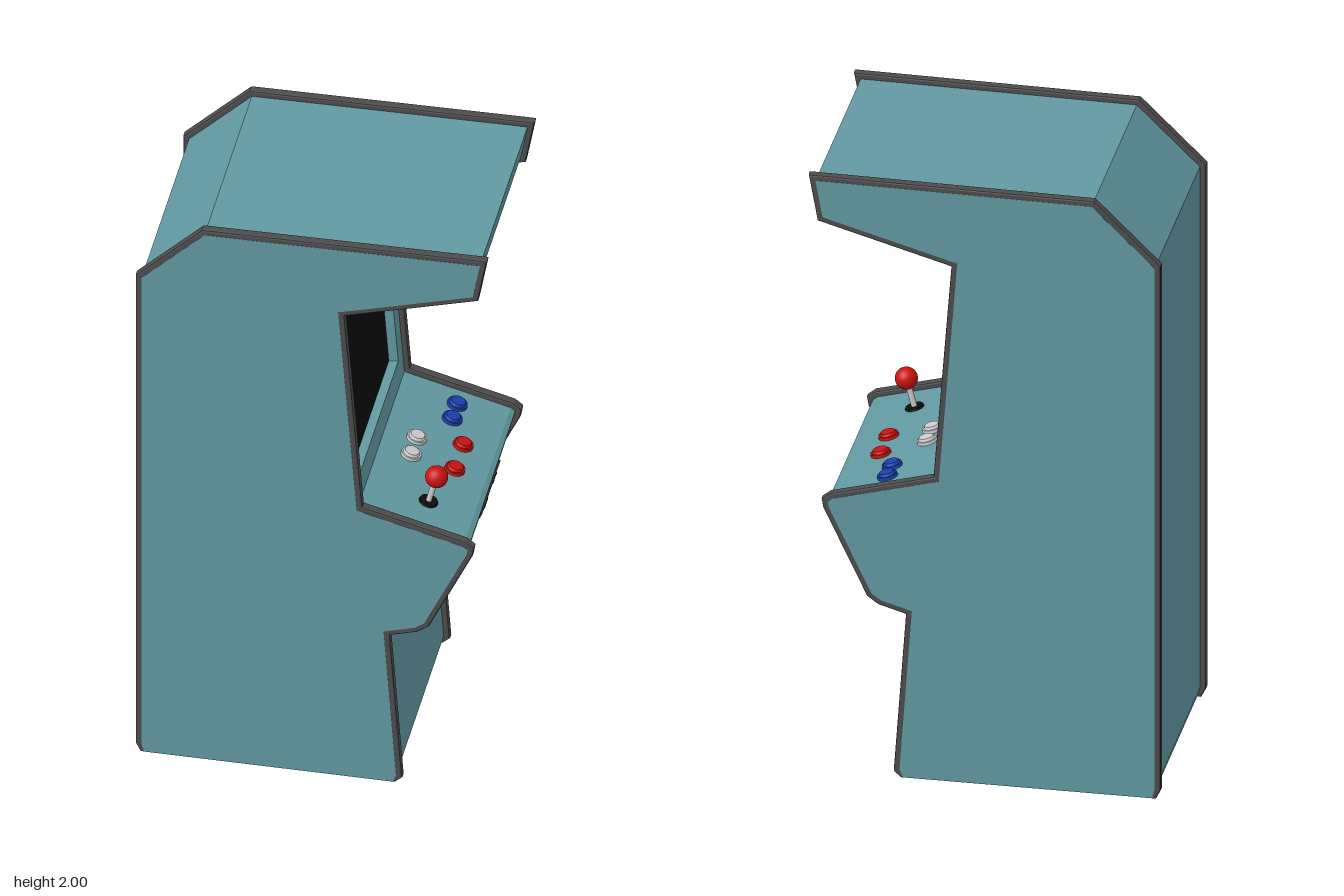
import * as THREE from 'three';

const mat = (color) => new THREE.MeshStandardMaterial({ color });
const teal = mat(0x6299a2), dark = mat(0x4c4c4c), black = mat(0x0d0d0d), door = mat(0x2e2e2e);
const red = mat(0xcc1111), white = mat(0xcccccc), blue = mat(0x1a3fb0);

// Cabinet side outline in (x, y), counter-clockwise from the lower back corner
const outline = [
  [-0.53, 0], [0.255, 0], [0.278, 0.02], [0.24, 0.55], [0.325, 0.575], [0.36, 0.6],
  [0.495, 0.885], [0.5, 0.915], [0.475, 0.935], [0.155, 1.02], [0.1, 1.73],
  [0.512, 1.847], [0.54, 2], [-0.34, 1.99], [-0.545, 1.79], [-0.545, 0.03],
].map(([x, y]) => new THREE.Vector2(x, y));

// Moves every edge of a polygon inwards by d
function inset(points, d) {
  const n = points.length;
  return points.map((p, i) => {
    const a = p.clone().sub(points[(i + n - 1) % n]).normalize();
    const b = points[(i + 1) % n].clone().sub(p).normalize();
    const na = new THREE.Vector2(-a.y, a.x), nb = new THREE.Vector2(-b.y, b.x);
    return na.add(nb).multiplyScalar(d / (1 + a.dot(b))).add(p);
  });
}

function add(parent, name, geometry, material, x = 0, y = 0, z = 0) {
  const mesh = new THREE.Mesh(geometry, material);
  mesh.name = name;
  mesh.position.set(x, y, z);
  parent.add(mesh);
  return mesh;
}

// Group on a sloped face: local z points outwards, y runs up the face, x is world -z
function mount(parent, name, x, y, normalAngle) {
  const group = new THREE.Group();
  group.name = name;
  group.position.set(x, y, 0);
  group.rotation.set(0, Math.PI / 2, normalAngle, 'ZYX');
  parent.add(group);
  return group;
}

const disc = (r0, r1, h) => new THREE.CylinderGeometry(r1, r0, h, 24).rotateX(Math.PI / 2);

function rectangle(PathType, w, h) {
  return new PathType([[-1, -1], [1, -1], [1, 1], [-1, 1]]
    .map(([x, y]) => new THREE.Vector2(x * w / 2, y * h / 2)));
}

export function createModel() {
  const model = new THREE.Group();
  model.name = 'arcadeCabinet';

  // Inner body, set back behind the screen surround
  const inner = inset(outline, 0.018);
  inner[0].y = inner[1].y = 0.003;
  const bodyPoints = inner.map((p) => p.clone());
  bodyPoints[9].add(new THREE.Vector2(-0.04, 0.0106));
  bodyPoints[10].add(new THREE.Vector2(-0.04, -0.0113));
  add(model, 'body', new THREE.ExtrudeGeometry(new THREE.Shape(bodyPoints),
    { depth: 0.7, bevelEnabled: false }), teal, 0, 0, -0.35);

  // Side panels: dark edge trim with a coloured face
  const trim = new THREE.ExtrudeGeometry(new THREE.Shape(outline), {
    depth: 0.018, bevelThickness: 0.006, bevelSize: 0.006, bevelOffset: -0.006, bevelSegments: 2,
  });
  const face = new THREE.ExtrudeGeometry(new THREE.Shape(inner), { depth: 0.003, bevelEnabled: false });
  for (const [side, s] of [['left', 1], ['right', -1]]) {
    add(model, side + 'Trim', trim, dark, 0, 0, s * 0.361 - 0.009);
    add(model, side + 'Panel', face, teal, 0, 0, s * 0.375 - 0.0015);
  }

  // Screen sunk into its surround
  const low = inner[9], high = inner[10];
  const tilt = Math.atan2(low.x - high.x, high.y - low.y);
  const screen = mount(model, 'screenUnit', (low.x + high.x) / 2, (low.y + high.y) / 2, tilt);
  const surround = rectangle(THREE.Shape, 0.7, low.distanceTo(high));
  surround.holes.push(rectangle(THREE.Path, 0.57, 0.575));
  add(screen, 'screenSurround', new THREE.ExtrudeGeometry(surround,
    { depth: 0.045, bevelEnabled: false }), teal, 0, 0, -0.045);
  add(screen, 'screen', new THREE.BoxGeometry(0.57, 0.575, 0.01), black, 0, 0, -0.034);

  // Control panel: joystick and buttons
  const controls = mount(model, 'controls', 0.31, 0.96, Math.PI / 2 - 0.26);
  const stick = new THREE.Group();
  stick.name = 'joystick';
  stick.position.set(-0.22, -0.018, 0);
  controls.add(stick);
  add(stick, 'stickBase', disc(0.03, 0.028, 0.006), black, 0, 0, 0.003);
  add(stick, 'stickShaft', disc(0.009, 0.009, 0.09), white, 0, 0, 0.045);
  add(stick, 'stickBall', new THREE.SphereGeometry(0.035, 24, 16), red, 0, 0, 0.1);
  const buttons = [
    [0.03, 0.235, white], [-0.055, 0.235, white], [0.03, 0.37, red],
    [-0.095, 0.37, red], [-0.2, 0.315, blue], [-0.275, 0.315, blue],
  ];
  for (const [z, x, color] of buttons) {
    const v = (0.31 - x) / Math.cos(0.26);
    add(controls, 'buttonRim', disc(0.032, 0.031, 0.01), color, -z, v, 0.005);
    add(controls, 'buttonCap', disc(0.026, 0.022, 0.008), color, -z, v, 0.014);
  }

  // Coin door with slots and return openings
  const coin = mount(model, 'coinUnit', 0.411, 0.75, -0.442);
  add(coin, 'coinDoor', new THREE.BoxGeometry(0.28, 0.276, 0.012), door, 0, 0, 0.002);
  for (const s of [-1, 1]) {
    for (const x of [0.047, 0.085]) {
      add(coin, 'coinSlot', new THREE.BoxGeometry(0.008, 0.045, 0.008), black, s * x, 0.105, 0.008);
    }
    add(coin, 'slotPlate', new THREE.BoxGeometry(0.046, 0.01, 0.006), black, s * 0.066, 0.125, 0.008);
    add(coin, 'doorLock', new THREE.BoxGeometry(0.008, 0.03, 0.008), black, s * 0.071, -0.07, 0.008);
  }
  return model;
}
